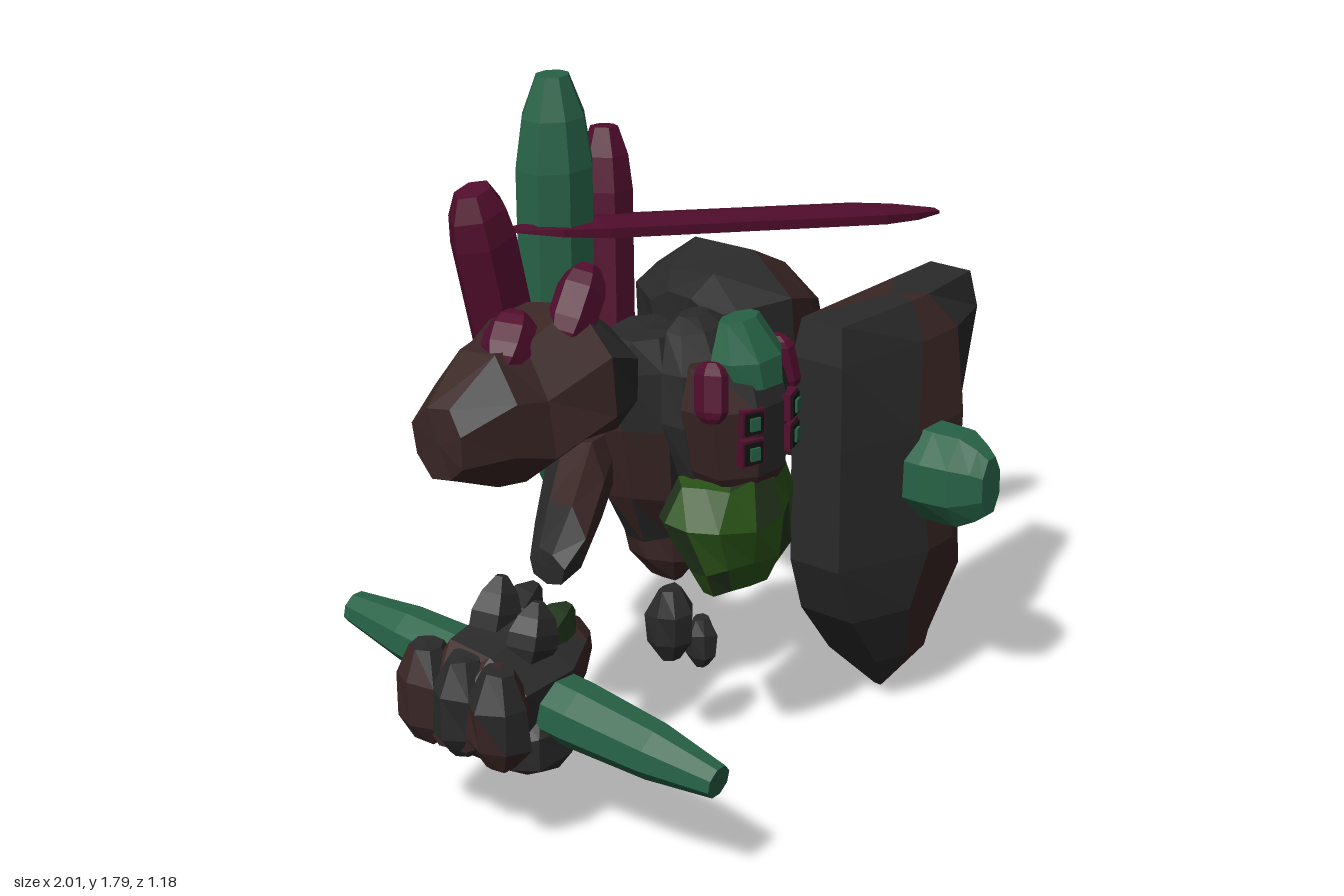
import * as THREE from 'three';

const mat = (color) => new THREE.MeshStandardMaterial({ color, flatShading: true });
const M = {
  dark: mat(0x2a2a2a), brown: mat(0x3a2625), green: mat(0x276246),
  magenta: mat(0x520e2d), moss: mat(0x2b5418), mossDark: mat(0x22361c), black: mat(0x121212),
};
const V = (a) => new THREE.Vector3(...a);

// Seeded random numbers from -1 to 1
function seeded(seed) {
  let s = seed * 7919 + 17;
  return () => ((s = (s * 16807) % 2147483647) / 2147483647) * 2 - 1;
}

// Skins a stack of rings; paint(centroid, column, row) picks each facet's material
function solid(name, rings, paint) {
  const group = new THREE.Group();
  group.name = name;
  const bins = {};
  const mid = rings.map((r) => r.reduce((s, p) => s.add(p), V([0, 0, 0])).divideScalar(r.length));
  const tri = (a, b, c, inside, col, row) => {
    const n = b.clone().sub(a).cross(c.clone().sub(a));
    if (n.lengthSq() < 1e-14) return;
    const m = a.clone().add(b).add(c).divideScalar(3);
    const order = n.dot(m.clone().sub(inside)) < 0 ? [a, c, b] : [a, b, c];
    (bins[paint(m, col, row)] ||= []).push(...order.flatMap((p) => p.toArray()));
  };
  const n = rings[0].length, last = rings.length - 1;
  for (let i = 0; i < last; i++) {
    const inside = mid[i].clone().lerp(mid[i + 1], 0.5);
    for (let j = 0; j < n; j++) {
      const k = (j + 1) % n, [a, b, c, d] = [rings[i][j], rings[i][k], rings[i + 1][k], rings[i + 1][j]];
      tri(a, b, c, inside, j, i);
      tri(a, c, d, inside, j, i);
    }
  }
  for (const [e, f] of [[0, 1], [last, last - 1]])
    for (let j = 0; j < n; j++) tri(mid[e], rings[e][j], rings[e][(j + 1) % n], mid[f], j, e);
  for (const k in bins) {
    const g = new THREE.BufferGeometry();
    g.setAttribute('position', new THREE.Float32BufferAttribute(bins[k], 3));
    g.computeVertexNormals();
    const mesh = new THREE.Mesh(g, M[k]);
    mesh.name = `${name} ${k}`;
    group.add(mesh);
  }
  return group;
}

// Patches of dark and brown stone
const stone = (seed, share = 0) => (m) =>
  Math.sin(m.x * 11 + seed) + Math.sin(m.y * 9 + m.z * 12 + seed * 2) > share ? 'dark' : 'brown';

// Rough rock: stations [x, y, z, radius, radius] with rings square to an axis
function rock(name, axis, stations, seed, paint = stone(seed), sides = 8, rough = 0.1) {
  const r = seeded(seed);
  r();
  const rings = stations.map(([x, y, z, ra, rb]) =>
    Array.from({ length: sides }, (_, j) => {
      const a = ((j + 0.5) / sides) * Math.PI * 2, k = 1 + r() * rough;
      const u = Math.cos(a) * ra * k, v = Math.sin(a) * rb * k, w = r() * rough * Math.min(ra, rb);
      return V(axis === 'x' ? [x + w, y + u, z + v] : axis === 'y' ? [x + u, y + w, z + v] : [x + u, y + v, z + w]);
    }));
  return solid(name, rings, paint);
}

// Small boulder about a centre
const boulder = (name, [x, y, z], [a, b, c], seed, paint) =>
  rock(name, 'y', [[-1, 0.45], [-0.5, 0.92], [0.35, 1], [1, 0.5]].map(([t, s]) =>
    [x, y + b * t, z, a * s, c * s]), seed, paint, 7, 0.13);

// Faceted crystal from a to b, with blunt tapered ends; w and d are its half widths
function crystal(name, a, b, w, d, material, { taper = 0.2, tip = 0.45, sides = 8 } = {}) {
  const len = V(a).distanceTo(V(b));
  const pts = [[0, 0], [tip, 0], [(1 + tip) / 2 + 0.1, taper * 0.45], [1, taper], [1, 1 - taper],
    [(1 + tip) / 2 + 0.1, 1 - taper * 0.45], [tip, 1], [0, 1]].map(([r, t]) => new THREE.Vector2(r, t * len));
  const geo = new THREE.LatheGeometry(pts, sides, Math.PI / sides);
  geo.scale(w, 1, d);
  const mesh = new THREE.Mesh(geo, material);
  mesh.name = name;
  mesh.position.set(...a);
  mesh.quaternion.setFromUnitVectors(V([0, 1, 0]), V(b).sub(V(a)).normalize());
  return mesh;
}

function makeShield() {
  // y, left, right, back z, rim z, ridge left, ridge right, ridge z, hollow z
  const rows = [
    [1.18, 0.13, 0.72, 0.16, 0.29, 0.42, 0.49, 0.31, 0.16],
    [1.08, 0.105, 0.73, 0.15, 0.31, 0.40, 0.56, 0.36, 0.18],
    [0.85, 0.105, 0.67, 0.15, 0.31, 0.33, 0.54, 0.40, 0.21],
    [0.50, 0.105, 0.665, 0.15, 0.31, 0.38, 0.49, 0.41, 0.21],
    [0.33, 0.17, 0.68, 0.14, 0.31, 0.34, 0.48, 0.38, 0.18],
    [0.15, 0.315, 0.565, 0.13, 0.29, 0.41, 0.49, 0.33, 0.14],
    [0, 0.455, 0.465, 0.19, 0.21, 0.458, 0.462, 0.21, 0.19],
  ];
  const rings = rows.map(([y, l, r, zb, zf, a, b, zr, zh]) =>
    [[l, zb], [l, zf], [a, zr], [b, zr], [r, zf], [r, zb], [l + (r - l) * 0.7, zh], [l + (r - l) * 0.3, zh]]
      .map(([x, z]) => V([x, y, z])));
  const shield = solid('shield', rings, (m, col, row) =>
    col === 2 || (col === 3 && row > 1) || col === 6 || col === 7 ? 'brown' : 'dark');
  // Boss running through the shield, with wedge ends
  shield.add(rock('shieldBoss', 'z', [[0.04, 0.03, 0.09], [0.09, 0.07, 0.12], [0.15, 0.113, 0.137],
    [0.43, 0.113, 0.137], [0.51, 0.1, 0.137], [0.56, 0.065, 0.11], [0.59, 0.045, 0.085]].map(([z, a, b]) =>
    [0.395, 0.73, z, a, b]), 1, () => 'green', 8, 0));
  return shield;
}

function makeHead() {
  const head = new THREE.Group();
  head.name = 'head';
  const x = -0.165;
  head.add(rock('skull', 'y', [[x, 0.8, 0.18, 0.09, 0.08], [x, 0.88, 0.18, 0.14, 0.12],
    [x, 1.06, 0.18, 0.175, 0.125], [x, 1.16, 0.17, 0.14, 0.1]], 5, stone(3), 8, 0.04));
  head.add(rock('hood', 'y', [[x, 0.86, 0.11, 0.13, 0.07], [x, 1.0, 0.1, 0.165, 0.09],
    [x, 1.13, 0.08, 0.155, 0.09], [x, 1.22, 0.05, 0.1, 0.06], [x, 1.25, 0.04, 0.05, 0.03]], 8, () => 'dark', 8, 0.06));
  // Mossy crystal beard
  head.add(rock('beard', 'y', [[-0.18, 0.565, 0.2, 0.12, 0.06], [-0.19, 0.64, 0.2, 0.18, 0.1],
    [-0.19, 0.76, 0.17, 0.225, 0.14], [-0.18, 0.86, 0.18, 0.16, 0.11]], 12,
    (m, col, row) => ((col * 5 + row * 3) % 4 === 0 ? 'mossDark' : 'moss'), 12, 0.11));
  head.add(rock('browGem', 'y', [[x, 1.11, 0.215, 0.1, 0.085], [x, 1.18, 0.21, 0.115, 0.08],
    [x, 1.27, 0.185, 0.07, 0.035]], 2, () => 'green', 8, 0.02));
  for (const s of [-1, 1]) {
    head.add(crystal('templeCrystal', [x + s * 0.155, 1.04, 0.22], [x + s * 0.13, 1.19, 0.2], 0.028, 0.05, M.magenta, { sides: 6 }));
    for (const y of [0.957, 1.037]) {
      const eye = new THREE.Group();
      eye.name = 'eye';
      [[0.065, 0.07, M.magenta, 0], [0.052, 0.058, M.black, 0.006], [0.028, 0.034, M.green, 0.013]].forEach(([w, h, m, z]) => {
        const box = new THREE.Mesh(new THREE.BoxGeometry(w, h, 0.05), m);
        box.position.z = z;
        box.name = 'eyeLayer';
        eye.add(box);
      });
      eye.position.set(x + s * 0.075, y, 0.274);
      eye.rotation.y = s * 0.35;
      head.add(eye);
    }
  }
  return head;
}

function makeHand() {
  const hand = new THREE.Group();
  hand.name = 'rightHand';
  hand.add(rock('fist', 'x', [[-0.97, 0.38, -0.08, 0.09, 0.12], [-0.88, 0.4, -0.08, 0.16, 0.17],
    [-0.72, 0.4, -0.08, 0.18, 0.18], [-0.6, 0.45, -0.07, 0.12, 0.12], [-0.53, 0.46, -0.06, 0.06, 0.06]], 21, stone(4, 0.2)));
  // Knuckles and fingers
  [-0.2, -0.08, 0.04].forEach((z, i) => {
    hand.add(boulder('knuckle', [-0.92, 0.41, z], [0.085, 0.13, 0.085], 30 + i));
    hand.add(boulder('finger', [-0.77, 0.3, z], [0.13, 0.085, 0.08], 40 + i));
  });
  // Broken wrist shards
  [[-0.72, 0.67, -0.13], [-0.58, 0.59, -0.14], [-0.59, 0.57, -0.02], [-0.73, 0.64, 0.0]].forEach((t, i) =>
    hand.add(crystal('wristShard', [-0.78, 0.46, t[2]], t, 0.075, 0.06, i === 2 ? M.mossDark : M.dark, { sides: 5, tip: 0.25, taper: 0.4 })));
  hand.add(crystal('handCrystal', [-0.8, 0.48, -0.58], [-0.705, 0.315, 0.55], 0.092, 0.085, M.green, { taper: 0.36, tip: 0.5 }));
  return hand;
}

export function createModel() {
  const model = new THREE.Group();
  model.name = 'stoneGolem';
  model.add(makeShield(), makeHead(), makeHand());

  // Torso and the loose stones beneath it
  model.add(rock('torso', 'y', [[-0.13, 0.6, -0.12, 0.09, 0.08], [-0.16, 0.74, -0.11, 0.15, 0.12],
    [-0.17, 0.95, -0.11, 0.19, 0.14], [-0.17, 1.1, -0.12, 0.17, 0.13], [-0.17, 1.17, -0.12, 0.1, 0.09]], 51, stone(2.2, -0.6)));
  model.add(rock('tailStone', 'y', [[-0.06, 0.43, -0.14, 0.025, 0.05], [-0.075, 0.5, -0.15, 0.06, 0.1],
    [-0.09, 0.62, -0.15, 0.07, 0.11], [-0.1, 0.68, -0.15, 0.04, 0.06]], 6, () => 'brown', 7));
  model.add(boulder('looseStone', [-0.24, 0.4, 0.02], [0.065, 0.1, 0.06], 9, () => 'dark'));
  model.add(boulder('looseStone', [-0.09, 0.285, 0], [0.045, 0.07, 0.045], 14, () => 'dark'));

  // Right arm
  model.add(rock('rightShoulder', 'x', [[-0.86, 1.05, -0.19, 0.1, 0.08], [-0.74, 1.08, -0.18, 0.18, 0.14],
    [-0.64, 1.07, -0.18, 0.19, 0.18], [-0.46, 1.14, -0.17, 0.19, 0.21], [-0.34, 1.11, -0.13, 0.15, 0.14]], 61, stone(5, 0.6), 8, 0.12));
  model.add(rock('rightForearm', 'x', [[-0.63, 0.68, -0.06, 0.05, 0.06], [-0.56, 0.73, -0.08, 0.1, 0.09],
    [-0.43, 0.83, -0.13, 0.12, 0.1], [-0.35, 0.86, -0.14, 0.08, 0.07]], 63, stone(2), 7));
  model.add(crystal('shoulderCrystal', [-0.7, 1.2, -0.13], [-0.58, 1.31, -0.18], 0.07, 0.07, M.magenta, { taper: 0.35, sides: 6 }));
  model.add(crystal('shoulderCrystal', [-0.53, 1.23, -0.08], [-0.39, 1.4, -0.11], 0.068, 0.06, M.magenta, { taper: 0.3, sides: 6 }));

  // Left arm
  model.add(rock('leftShoulder', 'x', [[0.05, 1.12, -0.18, 0.08, 0.11], [0.13, 1.1, -0.21, 0.15, 0.2],
    [0.28, 1.09, -0.22, 0.18, 0.24], [0.42, 1.06, -0.2, 0.15, 0.2], [0.53, 1.04, -0.19, 0.09, 0.13]], 71, stone(0, -0.1), 8, 0.12));
  model.add(rock('leftForearm', 'y', [[0.43, 0.65, -0.1, 0.06, 0.08], [0.44, 0.72, -0.09, 0.105, 0.125],
    [0.42, 0.85, -0.13, 0.105, 0.12], [0.4, 0.99, -0.17, 0.08, 0.1]], 73, stone(5, 0.9), 7));

  // Crystals on the back
  model.add(crystal('backCrystal', [-0.158, 0.65, -0.43], [-0.158, 1.79, -0.43], 0.115, 0.1, M.green, { taper: 0.21, tip: 0.42 }));
  model.add(crystal('backCrystalLeft', [0.02, 0.835, -0.41], [0.07, 1.6, -0.455], 0.075, 0.075, M.magenta, { taper: 0.22, tip: 0.5, sides: 6 }));
  model.add(crystal('backCrystalRight', [-0.3, 0.88, -0.43], [-0.455, 1.55, -0.44], 0.1, 0.08, M.magenta, { taper: 0.2, tip: 0.55, sides: 6 }));

  // Long flat blade crystal: local y runs along its length, z across its width
  const blade = crystal('shoulderBlade', [0, 0, 0], [0, 1.38, 0], 0.026, 0.1, M.magenta, { taper: 0.17, tip: 0.3, sides: 6 });
  const along = V([1.3, -0.185, 0.41]).normalize();
  const flat = V([0.185, 1.3, 0]).normalize();
  blade.quaternion.setFromRotationMatrix(
    new THREE.Matrix4().makeBasis(flat, along, flat.clone().cross(along)));
  blade.position.set(-0.31, 1.41, -0.43);
  model.add(blade);
  return model;
}
